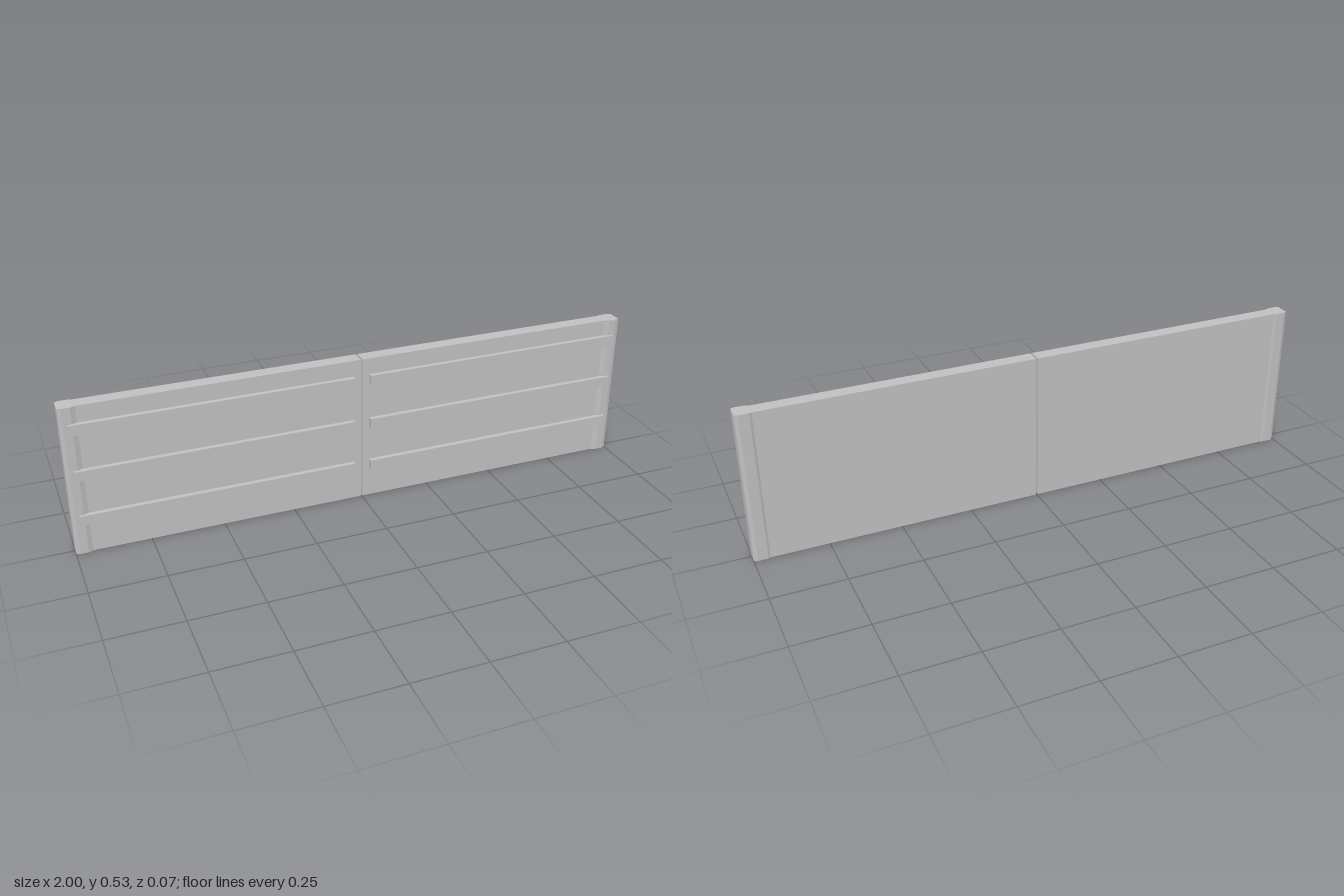
import * as THREE from 'three';

const HEIGHT = 0.527;

export function createModel() {
  const model = new THREE.Group();
  model.name = 'slattedBarrier';
  const grey = new THREE.MeshStandardMaterial({ color: 0xc0c0c0 });
  grey.name = 'plain grey';

  function box(name, x0, x1, y0, y1, z0, z1) {
    const mesh = new THREE.Mesh(new THREE.BoxGeometry(x1 - x0, y1 - y0, z1 - z0), grey);
    mesh.position.set((x0 + x1) / 2, (y0 + y1) / 2, (z0 + z1) / 2);
    mesh.name = name;
    return mesh;
  }

  // End post: chamfered section (x, z) extruded upwards
  function post(side) {
    const section = [
      [0.944, -0.03], [0.954, -0.035], [0.988, -0.035], [1, -0.029],
      [1, 0.021], [0.988, 0.025], [0.96, 0.025], [0.944, 0.018],
    ];
    const shape = new THREE.Shape(section.map(([x, z]) => new THREE.Vector2(side * x, -z)));
    const geometry = new THREE.ExtrudeGeometry(shape, { depth: HEIGHT, bevelEnabled: false });
    geometry.rotateX(-Math.PI / 2);
    const mesh = new THREE.Mesh(geometry, grey);
    mesh.name = 'endPost';
    return mesh;
  }

  // Two mirrored halves with a narrow joint between them
  for (const side of [-1, 1]) {
    const half = new THREE.Group();
    half.name = side > 0 ? 'leftHalf' : 'rightHalf';
    const span = (a, b) => (side > 0 ? [a, b] : [-b, -a]);
    half.add(box('panel', ...span(0.003, 0.946), 0, HEIGHT, -0.031, 0.018));
    half.add(post(side));

    // Horizontal rails on the front
    for (const y of [0.127, 0.289, 0.452]) {
      half.add(box('rail', ...span(0.028, 0.976), y - 0.0175, y + 0.0175, 0.017, 0.035));
    }
    model.add(half);
  }
  return model;
}
